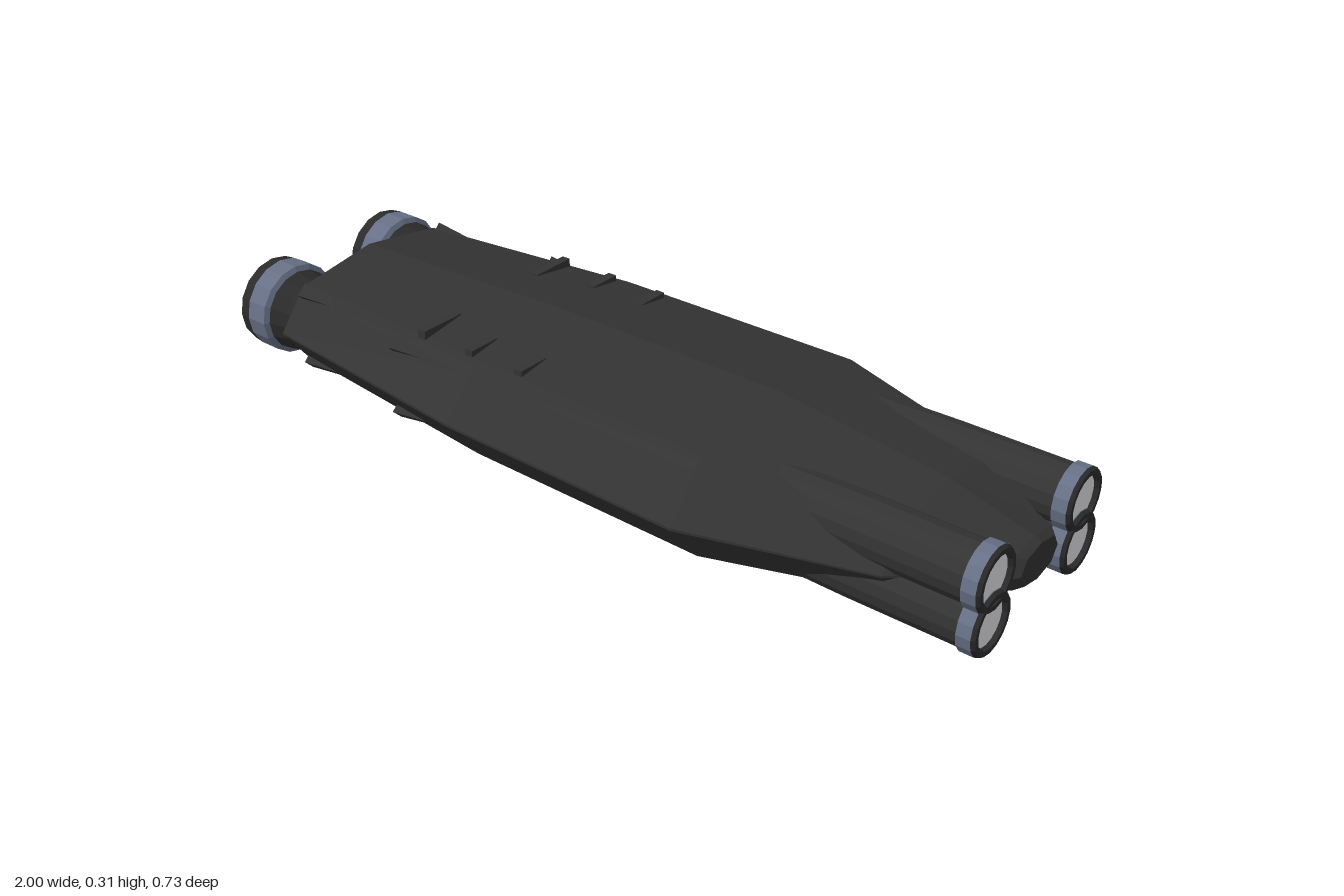
import * as THREE from 'three';

const mat = (name, color, side = THREE.FrontSide) =>
  new THREE.MeshStandardMaterial({ name, color, side, flatShading: true });

const CY = 0.155; // height of the centre line

// Faceted hull: one outline scaled along x
function hullGeometry() {
  const quarter = [[0.70, 0.76], [0.745, 0.74], [0.785, 0.63], [1, 0.02]]; // z, y fractions
  const half = [...quarter, ...quarter.map(([z, y]) => [z, -y]).reverse()];
  const ring = [[0, 1], ...half, [0, -1], ...half.map(([z, y]) => [-z, y]).reverse()];
  const sections = [ // x, half width, half height
    [-0.845, 0.293, 0.13], [-0.24, 0.355, 0.152], [0.38, 0.365, 0.153],
    [0.79, 0.238, 0.105], [0.94, 0.112, 0.062], [0.98, 0.095, 0.052], [0.997, 0.073, 0.042],
  ];
  const n = ring.length, pos = [], idx = [];
  for (const [x, w, h] of sections)
    for (const [z, y] of ring) pos.push(x, CY + y * h, z * w);
  for (let s = 0; s < sections.length - 1; s++)
    for (let i = 0; i < n; i++) {
      const a = s * n + i, b = s * n + (i + 1) % n;
      idx.push(a, b, a + n, b, b + n, a + n);
    }
  // End caps
  const rear = pos.length / 3, last = (sections.length - 1) * n;
  pos.push(sections[0][0], CY, 0, sections[sections.length - 1][0], CY, 0);
  for (let i = 0; i < n; i++) {
    const j = (i + 1) % n;
    idx.push(rear, j, i, rear + 1, last + i, last + j);
  }
  const g = new THREE.BufferGeometry();
  g.setAttribute('position', new THREE.Float32BufferAttribute(pos, 3));
  g.setIndex(idx);
  g.computeVertexNormals();
  return g;
}

export function createModel() {
  const model = new THREE.Group();
  model.name = 'spaceship';
  const hullMat = mat('hull charcoal', 0x333333);
  const darkMat = mat('engine charcoal', 0x2b2b2c, THREE.DoubleSide);
  const trimMat = mat('blue grey trim', 0x677086, THREE.DoubleSide);
  const glowMat = mat('pale lens', 0xe4e5e8, THREE.DoubleSide);

  const add = (parent, name, geometry, material) => {
    const m = new THREE.Mesh(geometry, material);
    m.name = name;
    parent.add(m);
    return m;
  };
  // Turned part along x; profile is [radius, distance], dir is the facing along x
  const turned = (profile, dir, sides = 16) =>
    new THREE.LatheGeometry(profile.map(p => new THREE.Vector2(...p)), sides).rotateZ(-dir * Math.PI / 2);
  const disc = (r, x, dir, sides = 16) =>
    new THREE.CircleGeometry(r, sides).rotateY(dir * Math.PI / 2).translate(x, 0, 0);

  add(model, 'hull', hullGeometry(), hullMat);

  for (const s of [1, -1]) {
    // Rear engines
    const engine = new THREE.Group();
    engine.name = 'rearEngine';
    engine.position.set(0, 0.157, s * 0.18);
    model.add(engine);
    add(engine, 'engineNeck', turned([[0.085, 0.8], [0.09, 0.86], [0.1, 0.908]], -1), darkMat);
    add(engine, 'engineBand', turned([[0.1, 0.908], [0.112, 0.915], [0.112, 0.97]], -1), trimMat);
    add(engine, 'engineLip', turned([[0.112, 0.97], [0.108, 1], [0.1, 1], [0.09, 0.92]], -1), darkMat);
    add(engine, 'engineLens', disc(0.091, -0.925, -1), glowMat);

    // Stacked forward tubes
    for (const y of [0.206, 0.105]) {
      const tube = new THREE.Group();
      tube.name = 'frontTube';
      tube.position.set(0, y, s * 0.174);
      model.add(tube);
      add(tube, 'tubeBody', turned([[0.06, 0.4], [0.065, 0.7], [0.065, 0.958]], 1), hullMat);
      add(tube, 'tubeBand', turned([[0.064, 0.957], [0.071, 0.96], [0.071, 0.992]], 1), trimMat);
      add(tube, 'tubeLip', turned([[0.071, 0.992], [0.066, 1], [0.055, 1], [0.051, 0.988]], 1), darkMat);
      add(tube, 'tubeLens', disc(0.052, 0.99, 1), glowMat);
    }

    // Cross bars on the roof
    for (const [x, z0, z1] of [[-0.42, 0.13, 0.245], [-0.275, 0.165, 0.245], [-0.13, 0.165, 0.245]])
      add(model, 'roofBar', new THREE.BoxGeometry(0.022, 0.045, z1 - z0), hullMat)
        .position.set(x, 0.2625, s * (z0 + z1) / 2);

    // Tapered fairings on the sloped flanks, above and below
    for (const v of [1, -1])
      for (const [x, len, y, z] of [[-0.715, 0.23, 0.086, 0.222], [-0.395, 0.18, 0.08, 0.262]]) {
        const g = new THREE.ConeGeometry(0.03, len, 4).rotateY(Math.PI / 4)
          .rotateZ(-Math.PI / 2).scale(1, 0.8, 1).rotateX(-s * v * 0.8);
        add(model, 'flankFairing', g, hullMat).position.set(x, CY + v * y, s * z);
      }
  }
  return model;
}
